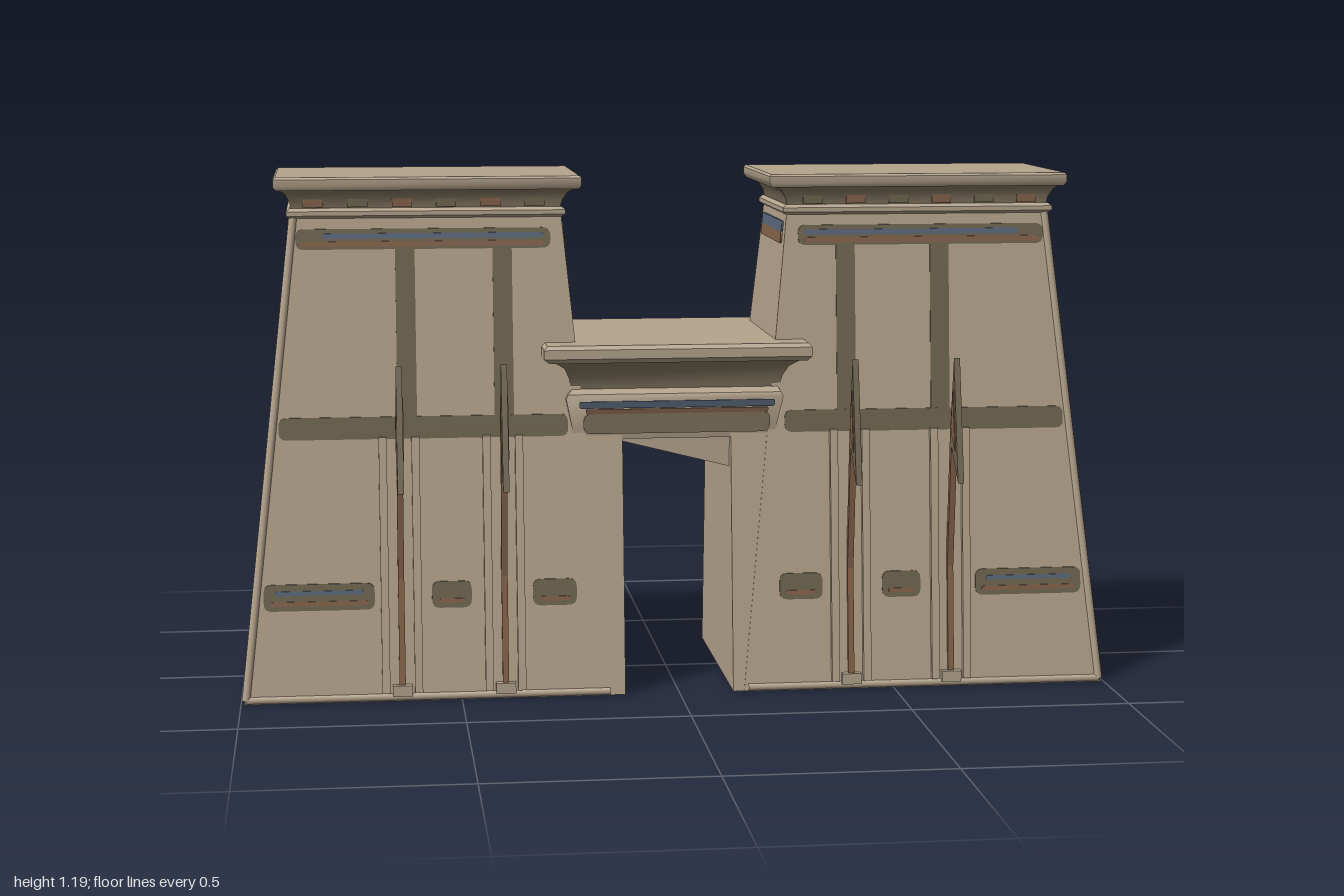
import * as THREE from 'three';
import { toCreasedNormals } from 'three/addons/utils/BufferGeometryUtils.js';

const mat = (name, color) => {
  const m = new THREE.MeshStandardMaterial({ color });
  m.name = name;
  return m;
};

// slopes of the battered tower walls
const frontZ = y => 0.285 - 0.1 * y;
const outerX = y => 0.992 - 0.113 * y;
const innerX = y => 0.15 + 0.1 * y;

// stack of rectangles [y, x0, x1, halfDepth] joined into a closed solid
function loft(rings) {
  const pos = [];
  const corners = rings.map(([y, x0, x1, z]) => [[x0, y, z], [x1, y, z], [x1, y, -z], [x0, y, -z]]);
  const quad = (a, b, c, d) => pos.push(...a, ...b, ...c, ...a, ...c, ...d);
  for (let i = 0; i < corners.length - 1; i++) {
    const lo = corners[i], hi = corners[i + 1];
    for (let k = 0; k < 4; k++) {
      const n = (k + 1) % 4;
      quad(lo[k], lo[n], hi[n], hi[k]);
    }
  }
  const b = corners[0], t = corners[corners.length - 1];
  quad(b[3], b[2], b[1], b[0]);
  quad(t[0], t[1], t[2], t[3]);
  const g = new THREE.BufferGeometry();
  g.setAttribute('position', new THREE.Float32BufferAttribute(pos, 3));
  return toCreasedNormals(g, 0.6);
}

// thin rounded plate in the xy plane
function plate(x0, x1, y0, y1, thick = 0.006, r = 0.018) {
  r = Math.min(r, (x1 - x0) / 2.1, (y1 - y0) / 2.1);
  const s = new THREE.Shape();
  s.moveTo(x0 + r, y0).lineTo(x1 - r, y0).quadraticCurveTo(x1, y0, x1, y0 + r);
  s.lineTo(x1, y1 - r).quadraticCurveTo(x1, y1, x1 - r, y1);
  s.lineTo(x0 + r, y1).quadraticCurveTo(x0, y1, x0, y1 - r);
  s.lineTo(x0, y0 + r).quadraticCurveTo(x0, y0, x0 + r, y0);
  return new THREE.ExtrudeGeometry(s, { depth: thick, bevelEnabled: false, curveSegments: 4 });
}

// lean a plate back so that it lies on a sloping wall
function lean(g, rule) {
  const p = g.attributes.position;
  for (let i = 0; i < p.count; i++) p.setZ(i, p.getZ(i) + rule(p.getY(i)) - 0.002);
  g.computeVertexNormals();
  return g;
}

// upright slab outlined by [z, y] points
function sideSlab(points, x, width) {
  const s = new THREE.Shape(points.map(([z, y]) => new THREE.Vector2(z, y)));
  const g = new THREE.ExtrudeGeometry(s, { depth: width, bevelEnabled: false });
  return g.translate(0, 0, -width / 2).rotateY(-Math.PI / 2).translate(x, 0, 0);
}

export function createModel() {
  const stone = mat('sandstone', 0xb5a58d);
  const shade = mat('weatheredStone', 0x8c7f67);
  const olive = mat('oliveCarving', 0x6f664f);
  const brown = mat('brownPaint', 0x85634a);
  const blue = mat('bluePaint', 0x5a687c);

  const model = new THREE.Group();
  model.name = 'templeGate';
  const add = (parent, name, g, m) => {
    const mesh = new THREE.Mesh(g, m);
    mesh.name = name;
    parent.add(mesh);
    return mesh;
  };
  const rod = (parent, name, a, b, r) => {
    const curve = new THREE.LineCurve3(new THREE.Vector3(...a), new THREE.Vector3(...b));
    add(parent, name, new THREE.TubeGeometry(curve, 1, r, 8), stone);
  };

  // one tower on +x, reused turned around for -x
  const makeTower = () => {
    const t = new THREE.Group();
    t.name = 'tower';
    add(t, 'towerBody', loft([[0, innerX(0), outerX(0), frontZ(0)], [1.1, innerX(1.1), outerX(1.1), frontZ(1.1)]]), stone);
    add(t, 'gateJamb', loft([[0, 0.125, 0.4, 0.283], [0.6, 0.125, 0.4, 0.223]]), stone);
    add(t, 'corniceRoll', loft([[1.092, 0.258, 0.872, 0.178], [1.098, 0.25, 0.88, 0.185],
      [1.108, 0.25, 0.88, 0.185], [1.115, 0.258, 0.872, 0.178]]), stone);
    add(t, 'corniceHollow', loft([[1.11, 0.262, 0.868, 0.174], [1.13, 0.257, 0.872, 0.177],
      [1.148, 0.245, 0.882, 0.187], [1.16, 0.225, 0.9, 0.204]]), shade);
    add(t, 'corniceSlab', loft([[1.156, 0.221, 0.902, 0.205], [1.165, 0.215, 0.908, 0.21],
      [1.181, 0.215, 0.908, 0.21], [1.186, 0.22, 0.903, 0.206]]), stone);
    for (const s of [-1, 1]) {
      rod(t, 'cornerRoll', [outerX(0) - 0.004, 0.008, s * 0.281], [outerX(1.1) - 0.004, 1.1, s * 0.171], 0.01);
      rod(t, 'footRoll', [0.16, 0.009, s * 0.281], [0.988, 0.009, s * 0.281], 0.009);
    }
    rod(t, 'footRoll', [0.988, 0.009, -0.281], [0.988, 0.009, 0.281], 0.009);

    // painted stripes on the narrow walls
    for (const [name, y0, y1, m] of [['brownStripe', 1.024, 1.05, brown], ['blueStripe', 1.05, 1.075, blue]]) {
      const outer = lean(plate(-0.148, 0.148, y0, y1, 0.006, 0.008), outerX).rotateY(Math.PI / 2);
      const inner = lean(plate(-0.148, 0.148, y0, y1, 0.006, 0.008), y => -innerX(y)).rotateY(-Math.PI / 2);
      add(t, name, outer, m);
      add(t, name, inner, m);
    }
    return t;
  };
  const towerLeft = makeTower();
  towerLeft.name = 'leftTower';
  const towerRight = makeTower();
  towerRight.name = 'rightTower';
  towerRight.rotation.y = Math.PI;
  model.add(towerLeft, towerRight);

  // carving, mast niches and pennants of one long face
  const makeFace = () => {
    const f = new THREE.Group();
    for (const s of [-1, 1]) {
      const band = (name, a, b, y0, y1, m = olive, thick = 0.005) =>
        add(f, name, lean(plate(Math.min(s * a, s * b), Math.max(s * a, s * b), y0, y1, thick), frontZ), m);
      band('middleBand', 0.25, 0.905, 0.595, 0.645);
      band('upperBand', 0.285, 0.86, 1.022, 1.068);
      band('upperBrownLine', 0.3, 0.85, 1.028, 1.04, brown, 0.007);
      band('upperBlueLine', 0.3, 0.8, 1.046, 1.058, blue, 0.007);
      for (const x of [0.395, 0.615]) band('verticalBand', x - 0.022, x + 0.022, 0.62, 1.05, olive, 0.0045);
      for (const [a, b] of [[0.235, 0.335], [0.475, 0.565], [0.695, 0.945]]) {
        band('lowBand', a, b, 0.21, 0.27);
        band('lowBrownLine', a + 0.015, b - 0.015, 0.221, 0.231, brown, 0.007);
      }
      band('lowBlueLine', 0.72, 0.92, 0.245, 0.255, blue, 0.007);

      // cornice paint
      for (let i = 0; i < 6; i++) {
        const x = s * (0.32 + i * 0.1);
        add(f, 'cornicePaint', new THREE.BoxGeometry(0.045, 0.026, 0.006).translate(x, 1.13, 0.177), i % 2 ? brown : olive);
      }

      for (const x of [0.4, 0.635]) {
        // raised ribs either side of the mast
        for (const d of [-0.037, 0.037]) {
          add(f, 'nicheRib', sideSlab([[0.25, 0.02], [0.298, 0.02], [0.24, 0.6], [0.2, 0.6]], s * x + d, 0.018), stone);
        }
        add(f, 'mastFoot', new THREE.BoxGeometry(0.045, 0.025, 0.03).translate(s * x, 0.025, 0.283), stone);
        add(f, 'mast', sideSlab([[0.26, 0.03], [0.29, 0.03], [0.264, 0.28], [0.289, 0.58], [0.273, 0.6], [0.25, 0.3]], s * x, 0.014), brown);
        add(f, 'pennant', sideSlab([[0.288, 0.565], [0.365, 0.49], [0.302, 0.77], [0.271, 0.58]], s * x, 0.014), olive);
        add(f, 'pennantHeart', sideSlab([[0.297, 0.59], [0.335, 0.56], [0.303, 0.7], [0.287, 0.61]], s * x, 0.018), brown);
      }
    }
    // lintel paint
    const lintelZ = y => 0.222 + (y - 0.585) * 0.18;
    add(f, 'lintelBand', lean(plate(-0.215, 0.215, 0.598, 0.645), lintelZ), shade);
    add(f, 'lintelBlueLine', lean(plate(-0.225, 0.225, 0.658, 0.674, 0.006, 0.006), lintelZ), blue);
    add(f, 'lintelBrownLine', lean(plate(-0.21, 0.21, 0.645, 0.656, 0.006, 0.004), lintelZ), brown);
    return f;
  };
  const front = makeFace();
  front.name = 'frontDecoration';
  const back = makeFace();
  back.name = 'backDecoration';
  back.rotation.y = Math.PI;
  model.add(front, back);

  // gate between the towers
  const gate = new THREE.Group();
  gate.name = 'gate';
  add(gate, 'lintel', loft([[0.585, -0.235, 0.225, 0.222], [0.68, -0.255, 0.245, 0.239], [0.69, -0.25, 0.24, 0.235], [0.7, -0.24, 0.235, 0.215]]), stone);
  add(gate, 'gateCorniceHollow', loft([[0.698, -0.242, 0.24, 0.212], [0.725, -0.246, 0.245, 0.218], [0.75, -0.258, 0.258, 0.235], [0.772, -0.29, 0.29, 0.268]]), shade);
  add(gate, 'gateCorniceSlab', loft([[0.766, -0.295, 0.295, 0.272], [0.777, -0.308, 0.304, 0.285], [0.798, -0.308, 0.304, 0.285], [0.807, -0.3, 0.296, 0.278]]), stone);
  const wedge = new THREE.Shape([[-0.13, 0.59], [-0.13, 0.578], [0.13, 0.512], [0.13, 0.59]].map(p => new THREE.Vector2(...p)));
  add(gate, 'passageCeiling', new THREE.ExtrudeGeometry(wedge, { depth: 0.4, bevelEnabled: false }).translate(0, 0, -0.2), stone);
  model.add(gate);

  return model;
}
